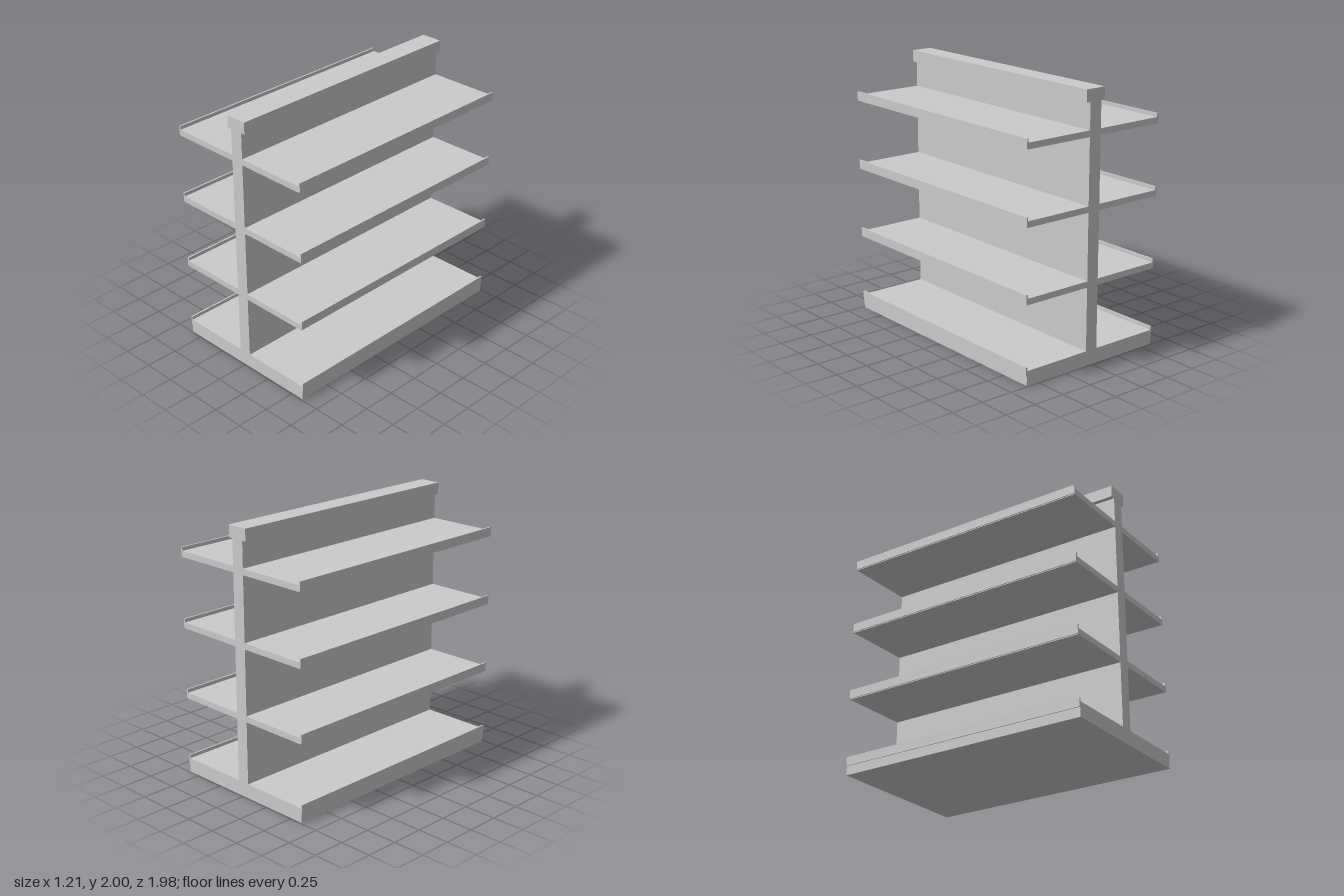
import * as THREE from 'three';

const DEPTH = 1.98;
const material = new THREE.MeshStandardMaterial({ color: 0xcccccc, flatShading: true });

// Full-length bar given by its x and y extents
function bar(name, x0, x1, y0, y1) {
  const mesh = new THREE.Mesh(new THREE.BoxGeometry(x1 - x0, y1 - y0, DEPTH), material);
  mesh.position.set((x0 + x1) / 2, (y0 + y1) / 2, 0);
  mesh.name = name;
  return mesh;
}

export function createModel() {
  const group = new THREE.Group();
  group.name = 'doubleSidedShelfUnit';

  // Base plinth, central back panel and top cap
  group.add(bar('base', -0.6, 0.6, 0, 0.11));
  group.add(bar('backPanel', -0.05, 0.05, 0.11, 1.91));
  group.add(bar('topCap', -0.083, 0.083, 1.91, 2));

  // Shelves on both sides of the panel
  const shelfTops = [0.635, 1.18, 1.715];
  for (const top of shelfTops) {
    group.add(bar('shelfLeft', 0.05, 0.6, top - 0.046, top));
    group.add(bar('shelfRight', -0.6, -0.05, top - 0.046, top));
  }

  // Raised lip along each outer edge, slightly proud of the shelf
  for (const top of [0.11, ...shelfTops]) {
    group.add(bar('lipLeft', 0.595, 0.607, top - 0.04, top + 0.027));
    group.add(bar('lipRight', -0.607, -0.595, top - 0.04, top + 0.027));
  }
  return group;
}
